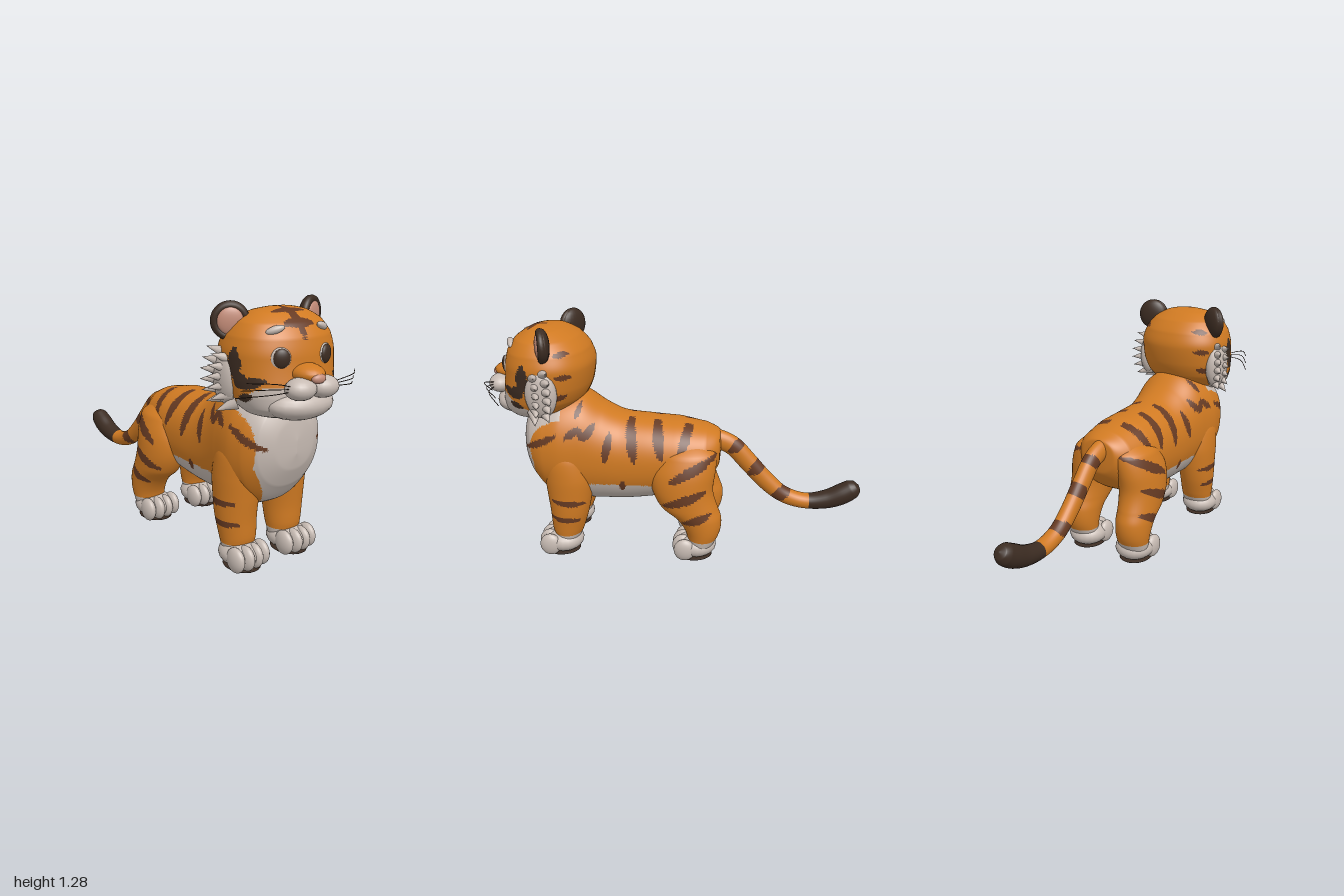
import * as THREE from 'three';

const mat = (name, color) => {
  const m = new THREE.MeshStandardMaterial({ color });
  m.name = name;
  return m;
};
const ORANGE = mat('orange fur', 0xd07a22);
const WHITE = mat('pale fur', 0xc6bab2);
const STRIPE = mat('brown stripe', 0x663a22);
const DARK = mat('dark brown', 0x3c2c22);
const PINK = mat('pink skin', 0xc48c78);
const COATS = [ORANGE, WHITE, STRIPE, DARK];
const [FUR, PALE, BROWN, BLACK] = [0, 1, 2, 3];
const X = new THREE.Vector3(1, 0, 0);
const Y = new THREE.Vector3(0, 1, 0);
const Z = new THREE.Vector3(0, 0, 1);

// Smooth skin over sections [x, y, z, radius, z radius]; rings face the axis, or the path itself
function loft(sections, rings, segs, axis, power = 1) {
  const path = new THREE.CatmullRomCurve3(sections.map(s => new THREE.Vector3(s[0], s[1], s[2])));
  const size = new THREE.CatmullRomCurve3(sections.map(s => new THREE.Vector3(s[3], s[4], 0)));
  const bend = v => Math.sign(v) * Math.abs(v) ** power;
  const pos = [], index = [];
  for (let i = 0; i <= rings; i++) {
    const t = i / rings, c = path.getPoint(t), r = size.getPoint(t);
    const n = Z.clone().cross(axis || path.getTangent(t)).normalize();
    for (let j = 0; j < segs; j++) {
      const a = j / segs * Math.PI * 2;
      const p = c.clone().addScaledVector(n, Math.max(r.x, 0) * bend(Math.cos(a)))
        .addScaledVector(Z, Math.max(r.y, 0) * bend(Math.sin(a)));
      pos.push(p.x, p.y, p.z);
      if (i < rings) {
        const k = (j + 1) % segs, o = i * segs;
        index.push(o + j, o + k, o + segs + j, o + k, o + segs + k, o + segs + j);
      }
    }
  }
  const geo = new THREE.BufferGeometry();
  geo.setAttribute('position', new THREE.Float32BufferAttribute(pos, 3));
  geo.setIndex(index);
  geo.computeVertexNormals();
  return geo;
}

// Sorts the faces into one group for each coat colour
function paint(geo, rule) {
  const p = geo.attributes.position, old = geo.index.array, buckets = COATS.map(() => []);
  for (let i = 0; i < old.length; i += 3) {
    const [a, b, c] = [old[i], old[i + 1], old[i + 2]];
    const mid = k => (p[k](a) + p[k](b) + p[k](c)) / 3;
    buckets[rule(mid('getX'), mid('getY'), mid('getZ'))].push(a, b, c);
  }
  geo.setIndex(buckets.flat());
  let start = 0;
  buckets.forEach((b, i) => {
    if (b.length) geo.addGroup(start, b.length, i);
    start += b.length;
  });
  return geo;
}

// True inside any tapered stroke [u0, v0, u1, v1, half width]
const marked = (strokes, u, v) => strokes.some(([a, b, c, d, w]) => {
  const du = c - a, dv = d - b;
  const t = Math.min(1, Math.max(0, ((u - a) * du + (v - b) * dv) / (du * du + dv * dv)));
  return Math.hypot(u - a - t * du, v - b - t * dv) < w * (1 - 0.6 * (2 * t - 1) ** 2);
});

function add(parent, name, geo, material) {
  const m = new THREE.Mesh(geo, material);
  m.name = name;
  parent.add(m);
  return m;
}
function ball(parent, name, material, at, radii) {
  const m = add(parent, name, new THREE.SphereGeometry(1, 22, 14), material);
  m.position.set(...at);
  m.scale.set(...radii);
  return m;
}
function group(parent, name) {
  const g = new THREE.Group();
  g.name = name;
  parent.add(g);
  return g;
}

const BODY_STRIPES = [
  [-0.07, 0.76, -0.02, 0.61, 0.026], [0.11, 0.77, 0.08, 0.59, 0.028], [0.25, 0.78, 0.22, 0.57, 0.028],
  [0.35, 0.71, 0.375, 0.57, 0.022], [0.43, 0.76, 0.48, 0.69, 0.022], [0.48, 0.69, 0.51, 0.75, 0.018],
  [0.51, 0.75, 0.57, 0.70, 0.02], [0.62, 0.715, 0.79, 0.63, 0.018], [0.285, 0.40, 0.285, 0.45, 0.018],
  [0.50, 0.86, 0.52, 0.80, 0.015],
];
const LEG_STRIPES = [
  [-0.2, 0.6, 0.03, 0.48, 0.026], [-0.15, 0.425, 0.06, 0.34, 0.026], [-0.18, 0.295, -0.04, 0.24, 0.024],
  [0.49, 0.325, 0.66, 0.34, 0.018], [0.52, 0.225, 0.67, 0.235, 0.018],
];
const TAIL_STRIPES = [
  [-0.35, 0.63, -0.28, 0.57, 0.03], [-0.47, 0.52, -0.39, 0.44, 0.034], [-0.61, 0.36, -0.52, 0.29, 0.036],
];
const FACE_MARKS = [
  [0.725, 1.08, 0.735, 0.96, 0.036], [0.735, 0.97, 0.79, 0.925, 0.036], [0.77, 0.93, 0.85, 0.955, 0.024],
  [0.75, 0.865, 0.81, 0.885, 0.02],
];
const NAPE_MARKS = [
  [0.5, 1.03, 0.56, 1.03, 0.016], [0.52, 1.14, 0.57, 1.14, 0.015], [0.53, 0.93, 0.58, 0.91, 0.016],
];
const CROWN_MARKS = [
  [0.69, 0, 0.88, 0, 0.022], [0.75, -0.08, 0.75, 0.08, 0.022], [0.83, -0.07, 0.83, 0.07, 0.022],
];

function addBody(tiger) {
  // [x, bottom, top, half width]
  const torso = [
    [-0.23, 0.58, 0.62, 0], [-0.222, 0.50, 0.68, 0.10], [-0.15, 0.40, 0.715, 0.17], [0, 0.33, 0.745, 0.205],
    [0.15, 0.30, 0.757, 0.21], [0.3, 0.283, 0.775, 0.21], [0.4, 0.28, 0.825, 0.215], [0.5, 0.28, 0.89, 0.23],
    [0.6, 0.285, 0.90, 0.245], [0.7, 0.33, 0.87, 0.235], [0.77, 0.42, 0.83, 0.195], [0.81, 0.51, 0.75, 0.12],
    [0.825, 0.59, 0.65, 0],
  ].map(([x, b, t, w]) => [x, (b + t) / 2, 0, (t - b) / 2, w]);
  add(tiger, 'body', paint(loft(torso, 150, 116, X, 0.92), (x, y, z) => {
    if (Math.abs(z) > 0.04 && marked(BODY_STRIPES, x, y)) return BROWN;
    if (x > 0.08 && x < 0.62 && y < 0.43) return PALE;
    return x > 0.6 && Math.abs(z) < Math.min(0.2, 0.06 + (y - 0.29) * 0.56) ? PALE : FUR;
  }), COATS);

  const tail = [
    [-0.14, 0.63, 0.06, 0.05], [-0.21, 0.625, 0.056, 0.045], [-0.29, 0.59, 0.053, 0.043],
    [-0.38, 0.495, 0.052, 0.043], [-0.48, 0.385, 0.05, 0.043], [-0.58, 0.305, 0.045, 0.044],
    [-0.70, 0.27, 0.043, 0.046], [-0.82, 0.285, 0.052, 0.052], [-0.90, 0.32, 0.058, 0.055],
    [-0.95, 0.352, 0.054, 0.05], [-0.975, 0.37, 0.035, 0.035], [-0.985, 0.378, 0, 0],
  ].map(([x, y, r, w]) => [x, y, 0.01, r, w]);
  add(tiger, 'tail', paint(loft(tail, 100, 28, null), (x, y) =>
    x < -0.72 ? BLACK : marked(TAIL_STRIPES, x, y) ? BROWN : FUR), COATS);
}

// Leg sections: [y, back x, front x, z centre, half width]
const FRONT_LEG = [
  [0.06, 0.55, 0.66, 0.15, 0.08], [0.15, 0.51, 0.685, 0.15, 0.092], [0.25, 0.48, 0.69, 0.153, 0.1],
  [0.35, 0.46, 0.70, 0.15, 0.106], [0.45, 0.45, 0.71, 0.145, 0.113], [0.55, 0.46, 0.72, 0.13, 0.12],
  [0.65, 0.49, 0.70, 0.11, 0.10], [0.73, 0.59, 0.60, 0.08, 0],
];
const REAR_LEG = [
  [0.06, -0.19, -0.07, 0.165, 0.08], [0.16, -0.235, -0.05, 0.168, 0.092], [0.24, -0.242, 0, 0.168, 0.098],
  [0.31, -0.22, 0.085, 0.165, 0.105], [0.40, -0.195, 0.13, 0.158, 0.112], [0.50, -0.205, 0.14, 0.145, 0.112],
  [0.60, -0.21, 0.10, 0.115, 0.105], [0.69, -0.08, -0.06, 0.08, 0],
];

function addLeg(tiger, name, sections, pawX, side) {
  const leg = group(tiger, name);
  const rings = sections.map(([y, b, f, z, w]) => [(b + f) / 2, y, z * side, (f - b) / 2, w]);
  add(leg, name + 'Limb', paint(loft(rings, 68, 48, Y), (x, y, z) =>
    y < 0.125 ? PALE : z * side > 0.1 && marked(LEG_STRIPES, x, y) ? BROWN : FUR), COATS);
  // Paw with four toes and a dark sole
  const z = 0.157 * side;
  ball(leg, 'paw', WHITE, [pawX, 0.072, z], [0.112, 0.066, 0.104]);
  for (let i = 0; i < 4; i++) {
    const k = i - 1.5;
    ball(leg, 'toe', WHITE, [pawX + 0.075 - Math.abs(k) * 0.012, 0.07, z + k * 0.052], [0.058, 0.063, 0.031]);
  }
  ball(leg, 'sole', DARK, [pawX + 0.01, 0.01, z], [0.1, 0.01, 0.085]);
}

function addFaceSide(head, side) {
  // Ear: dark shell and rim around a pink hollow
  const ear = group(head, 'ear');
  ear.position.set(0.63, 1.19, 0.222 * side);
  ear.rotation.y = -0.45 * side;
  ball(ear, 'earBack', DARK, [-0.008, 0, 0], [0.036, 0.086, 0.082]);
  add(ear, 'earRim', new THREE.TorusGeometry(0.068, 0.02, 10, 36), DARK).rotation.y = Math.PI / 2;
  ball(ear, 'innerEar', PINK, [0.014, 0, 0], [0.018, 0.062, 0.06]);

  // Eye and brow
  const eye = group(head, 'eye');
  eye.position.set(0.868, 1.05, 0.118 * side);
  eye.rotation.y = -0.4 * side;
  ball(eye, 'eyeWhite', WHITE, [0, 0, 0], [0.02, 0.05, 0.047]);
  ball(eye, 'iris', DARK, [0.008, 0.003, -0.003 * side], [0.018, 0.043, 0.039]);
  const brow = ball(head, 'brow', WHITE, [0.835, 1.17, 0.125 * side], [0.018, 0.017, 0.043]);
  brow.rotation.set(0.35 * side, -0.45 * side, 0);

  // Muzzle pad and whiskers
  ball(head, 'muzzlePad', WHITE, [0.94, 0.928, 0.06 * side], [0.062, 0.05, 0.074]);
  for (let i = 0; i < 3; i++) {
    const rise = (1 - i) * 0.035;
    const curve = new THREE.CatmullRomCurve3([
      new THREE.Vector3(0.95, 0.935 + rise * 0.3, 0.115 * side),
      new THREE.Vector3(0.965 - i * 0.01, 0.945 + rise * 0.7, 0.2 * side),
      new THREE.Vector3(0.875 - i * 0.02, 0.93 + rise, (0.29 + i * 0.015) * side),
    ]);
    add(head, 'whisker', new THREE.TubeGeometry(curve, 16, 0.002, 5), DARK);
  }

  // Cheek ruff: soft base with two rows of tufts swept back and out
  ball(head, 'cheekRuff', WHITE, [0.64, 0.945, 0.245 * side], [0.085, 0.125, 0.05]);
  for (let row = 0; row < 2; row++) {
    for (let i = 0; i < 6; i++) {
      const k = (i + row * 0.5 - 2.5) / 2.5;
      const dir = new THREE.Vector3(-0.6 + row * 0.25, -k * 0.3, 0.8 * side).normalize();
      const tuft = add(head, 'cheekTuft', new THREE.ConeGeometry(0.034, 0.1, 14), WHITE);
      tuft.quaternion.setFromUnitVectors(Y, dir);
      tuft.position.set(0.60 + row * 0.055 + 0.02 * k * k, 0.95 - k * 0.105, (0.272 - 0.02 * k * k) * side)
        .addScaledVector(dir, 0.025);
    }
  }
}

function addHead(tiger) {
  // Head turned slightly to one side about the neck
  const head = group(tiger, 'head'), turn = 0.14, pivot = 0.63;
  head.rotation.y = -turn;
  head.position.set(pivot * (1 - Math.cos(turn)), 0, -pivot * Math.sin(turn));
  // [y, back x, front x, half width]
  const skull = [
    [0.765, 0.72, 0.74, 0], [0.77, 0.65, 0.83, 0.11], [0.79, 0.59, 0.89, 0.18], [0.825, 0.54, 0.92, 0.22],
    [0.88, 0.49, 0.92, 0.25], [0.95, 0.46, 0.91, 0.266], [1.05, 0.445, 0.897, 0.27], [1.13, 0.468, 0.88, 0.25],
    [1.19, 0.52, 0.838, 0.205], [1.23, 0.59, 0.775, 0.135], [1.245, 0.65, 0.72, 0.06], [1.247, 0.68, 0.69, 0],
  ].map(([y, b, f, w]) => [(b + f) / 2, y, 0, (f - b) / 2, w]);
  add(head, 'skull', paint(loft(skull, 110, 108, Y, 0.93), (x, y, z) => {
    if (y > 1.12 && marked(CROWN_MARKS, x, z)) return BROWN;
    if (Math.abs(z) > 0.08 && marked(FACE_MARKS, x, y)) return BLACK;
    if (Math.abs(z) > 0.06 && marked(NAPE_MARKS, x, y)) return BROWN;
    return x > 0.6 && y < Math.min(0.93, 0.82 + (x - 0.66) * 0.55) ? PALE : FUR;
  }), COATS);
  ball(head, 'jaw', WHITE, [0.855, 0.842, 0], [0.115, 0.074, 0.17]);
  ball(head, 'noseBridge', ORANGE, [0.895, 0.985, 0], [0.098, 0.044, 0.075]);
  ball(head, 'nose', PINK, [0.982, 0.975, 0], [0.02, 0.022, 0.036]);
  for (const side of [1, -1]) addFaceSide(head, side);
}

export function createModel() {
  const tiger = new THREE.Group();
  tiger.name = 'tigerCub';
  addBody(tiger);
  addHead(tiger);
  for (const side of [1, -1]) {
    const label = side > 0 ? 'Right' : 'Left';
    addLeg(tiger, 'frontLeg' + label, FRONT_LEG, 0.63, side);
    addLeg(tiger, 'rearLeg' + label, REAR_LEG, -0.105, side);
  }
  return tiger;
}
